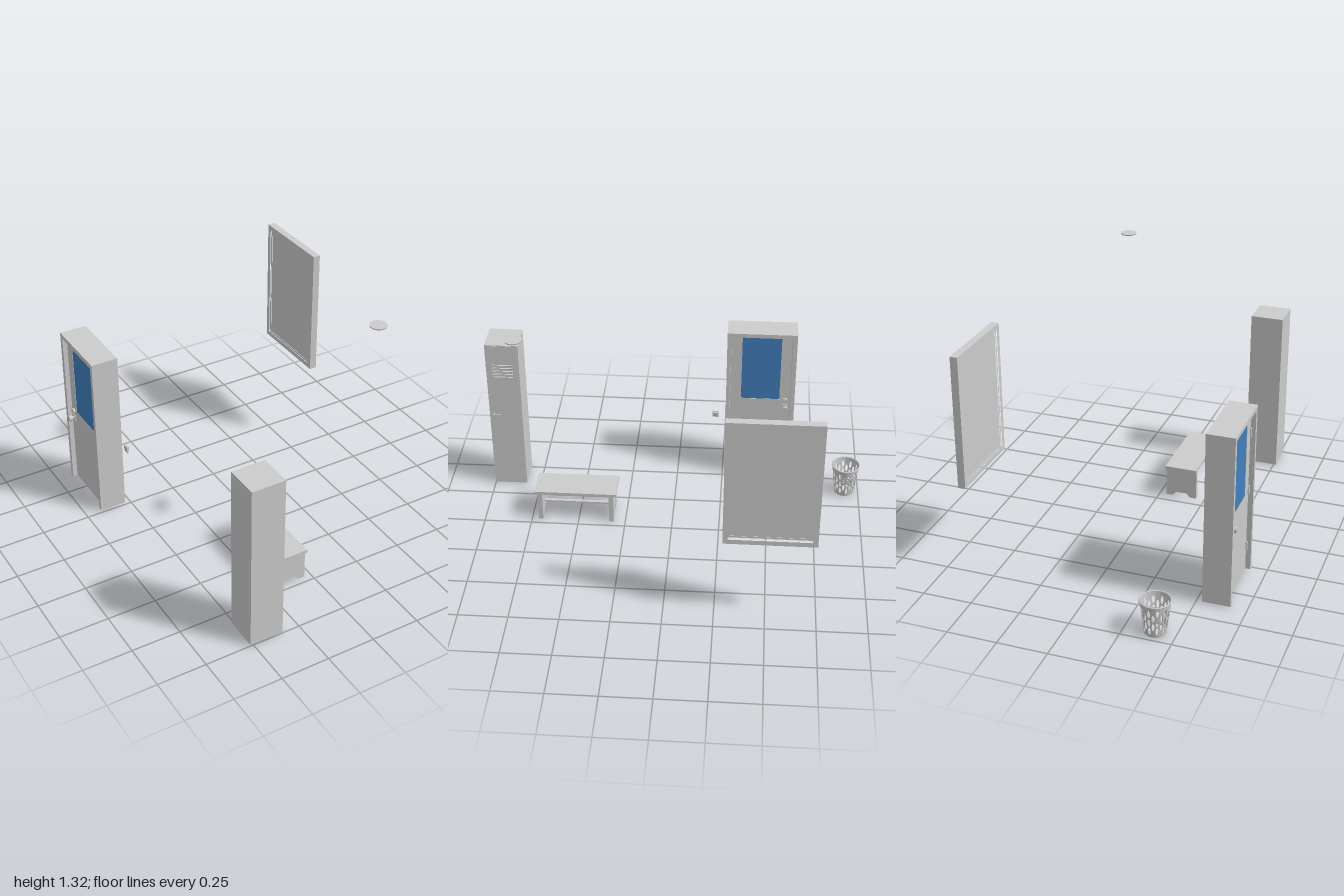
import * as THREE from 'three';

const grey = new THREE.MeshStandardMaterial({ color: 0xcccccc });
const thin = new THREE.MeshStandardMaterial({ color: 0xcccccc, side: THREE.DoubleSide });
const blue = new THREE.MeshStandardMaterial({ color: 0x4080bf });

function add(parent, name, geometry, material = grey) {
  const mesh = new THREE.Mesh(geometry, material);
  mesh.name = name;
  parent.add(mesh);
  return mesh;
}

// Box given by its limits on each axis
function box(parent, name, [x0, x1], [y0, y1], [z0, z1], material) {
  const mesh = add(parent, name, new THREE.BoxGeometry(x1 - x0, y1 - y0, z1 - z0), material);
  mesh.position.set((x0 + x1) / 2, (y0 + y1) / 2, (z0 + z1) / 2);
  return mesh;
}

// Cylinder lying along x
function knob(parent, name, radius, [x0, x1], y, z) {
  const mesh = add(parent, name, new THREE.CylinderGeometry(radius, radius, x1 - x0, 20));
  mesh.rotation.z = Math.PI / 2;
  mesh.position.set((x0 + x1) / 2, y, z);
}

// Outline in (z, y) extruded along x, with rectangular holes
function rectPath(Type, [z0, z1], [y0, y1]) {
  return new Type([[z0, y0], [z1, y0], [z1, y1], [z0, y1]].map(p => new THREE.Vector2(-p[0], p[1])));
}
function slabX(parent, name, [x0, x1], y, z, holeY, holeZ) {
  const shape = rectPath(THREE.Shape, z, y);
  shape.holes.push(rectPath(THREE.Path, holeZ, holeY));
  const geo = new THREE.ExtrudeGeometry(shape, { depth: x1 - x0, bevelEnabled: false });
  geo.rotateY(Math.PI / 2).translate(x0, 0, 0);
  return add(parent, name, geo);
}

function group(root, name) {
  const g = new THREE.Group();
  g.name = name;
  root.add(g);
  return g;
}

function buildLocker(root) {
  const g = group(root, 'locker');
  box(g, 'lockerBody', [-0.515, -0.342], [0.006, 0.885], [0.825, 1]);
  box(g, 'lockerDoor', [-0.343, -0.34], [0.01, 0.881], [0.834, 0.998]);
  // Slanted louvres
  for (let i = 0; i < 5; i++) {
    const louvre = box(g, 'louvre', [-0.344, -0.336], [0, 0.003], [0.858, 0.968]);
    louvre.position.y = 0.695 + i * 0.018;
    louvre.rotation.z = -0.6;
  }
  box(g, 'handleStem', [-0.341, -0.327], [0.457, 0.463], [0.972, 0.979]);
  box(g, 'handleLever', [-0.331, -0.326], [0.457, 0.463], [0.932, 0.979]);
}

function buildDoor(root) {
  const g = group(root, 'door');
  const x = [-0.67, -0.53];
  box(g, 'frontJamb', x, [0.006, 0.895], [-0.281, -0.26]);
  box(g, 'backJamb', x, [0.006, 0.895], [-0.63, -0.607]);
  box(g, 'lintel', x, [0.873, 0.895], [-0.607, -0.281]);
  slabX(g, 'doorLeaf', [-0.645, -0.605], [0.008, 0.873], [-0.607, -0.281], [0.447, 0.83], [-0.55, -0.34]);
  box(g, 'doorGlass', [-0.643, -0.607], [0.447, 0.83], [-0.55, -0.34], blue);
  // Lock and knob on both faces
  for (const [face, out] of [[-0.605, 1], [-0.645, -1]]) {
    const span = (a, b) => [face + out * a, face + out * b].sort((p, q) => p - q);
    knob(g, 'lock', 0.014, span(0, 0.012), 0.443, -0.578);
    box(g, 'knobPlate', span(0, 0.005), [0.385, 0.417], [-0.6, -0.564]);
    knob(g, 'knobNeck', 0.007, span(0, 0.02), 0.401, -0.582);
    knob(g, 'knob', 0.015, span(0.018, 0.034), 0.401, -0.582);
  }
  // Hinges
  for (const y of [0.14, 0.45, 0.76]) {
    const hinge = add(g, 'hinge', new THREE.CylinderGeometry(0.006, 0.006, 0.045, 12));
    hinge.position.set(-0.648, y, -0.285);
  }
}

function buildSwitch(root) {
  const g = group(root, 'lightSwitch');
  box(g, 'switchPlate', [-0.536, -0.528], [0.368, 0.402], [-0.222, -0.188]);
  const rocker = box(g, 'switchRocker', [-0.531, -0.523], [0.374, 0.398], [-0.215, -0.195]);
  rocker.rotation.z = -0.15;
}

function buildWindow(root) {
  const g = group(root, 'window');
  slabX(g, 'windowFrame', [0.632, 0.67], [0.453, 1.138], [-0.735, -0.285], [0.478, 1.113], [-0.71, -0.31]);
  slabX(g, 'innerLip', [0.637, 0.65], [0.476, 1.115], [-0.712, -0.308], [0.486, 1.105], [-0.702, -0.318]);
  box(g, 'windowPane', [0.641, 0.646], [0.484, 1.107], [-0.704, -0.316]);
}

function buildBench(root) {
  const g = group(root, 'bench');
  box(g, 'seat', [-0.206, -0.034], [0.161, 0.178], [0.295, 0.73]);
  // End panels with a cut-out foot
  const outline = [[-0.204, 0], [-0.168, 0], [-0.15, 0.022], [-0.09, 0.022], [-0.072, 0],
    [-0.036, 0], [-0.036, 0.162], [-0.204, 0.162]];
  const shape = new THREE.Shape(outline.map(p => new THREE.Vector2(p[0], p[1])));
  for (const z of [0.312, 0.69]) {
    const leg = add(g, 'endPanel', new THREE.ExtrudeGeometry(shape, { depth: 0.024, bevelEnabled: false }));
    leg.position.z = z;
  }
  box(g, 'stretcher', [-0.13, -0.11], [0.058, 0.068], [0.33, 0.695]);
}

function buildBasket(root) {
  const g = group(root, 'wastebasket');
  g.position.set(-0.398, 0, -0.925);
  const columns = 20, step = Math.PI * 2 / columns, height = 0.17;
  const radius = y => 0.053 + 0.02 * y / height;

  // Strip of wall with oval slots, wrapped on the cone
  function strip(slots, index) {
    const shape = new THREE.Shape();
    shape.moveTo(0, 0).lineTo(step, 0).lineTo(step, height).lineTo(0, height);
    for (const y of slots) {
      const hole = new THREE.Path();
      hole.absellipse(step / 2, y, step * 0.36, 0.021, 0, Math.PI * 2, true);
      shape.holes.push(hole);
    }
    const geo = new THREE.ExtrudeGeometry(shape, { depth: 0.003, bevelEnabled: false, curveSegments: 8 });
    const p = geo.attributes.position;
    for (let i = 0; i < p.count; i++) {
      const a = -p.getX(i) - index * step, y = p.getY(i);
      const r = radius(y) - 0.003 + p.getZ(i);
      p.setXYZ(i, r * Math.cos(a), y, r * Math.sin(a));
    }
    geo.computeVertexNormals();
    return geo;
  }
  for (let i = 0; i < columns; i++) {
    add(g, 'slottedWall', strip(i % 2 ? [0.06, 0.108] : [0.036, 0.084, 0.132], i), thin);
  }
  const base = add(g, 'basketBase', new THREE.CylinderGeometry(0.053, 0.053, 0.004, 40));
  base.position.y = 0.002;
  // Rolled rim
  const rim = add(g, 'basketRim', new THREE.TorusGeometry(0.073, 0.004, 8, 40));
  rim.rotation.x = Math.PI / 2;
  rim.position.y = 0.172;
}

function buildCeilingDisc(root) {
  const disc = add(root, 'ceilingDisc', new THREE.CylinderGeometry(0.042, 0.04, 0.006, 40));
  disc.position.set(0.322, 1.317, 0.71);
}

export function createModel() {
  const root = new THREE.Group();
  root.name = 'changingRoom';
  buildLocker(root);
  buildDoor(root);
  buildSwitch(root);
  buildWindow(root);
  buildBench(root);
  buildBasket(root);
  buildCeilingDisc(root);
  return root;
}
